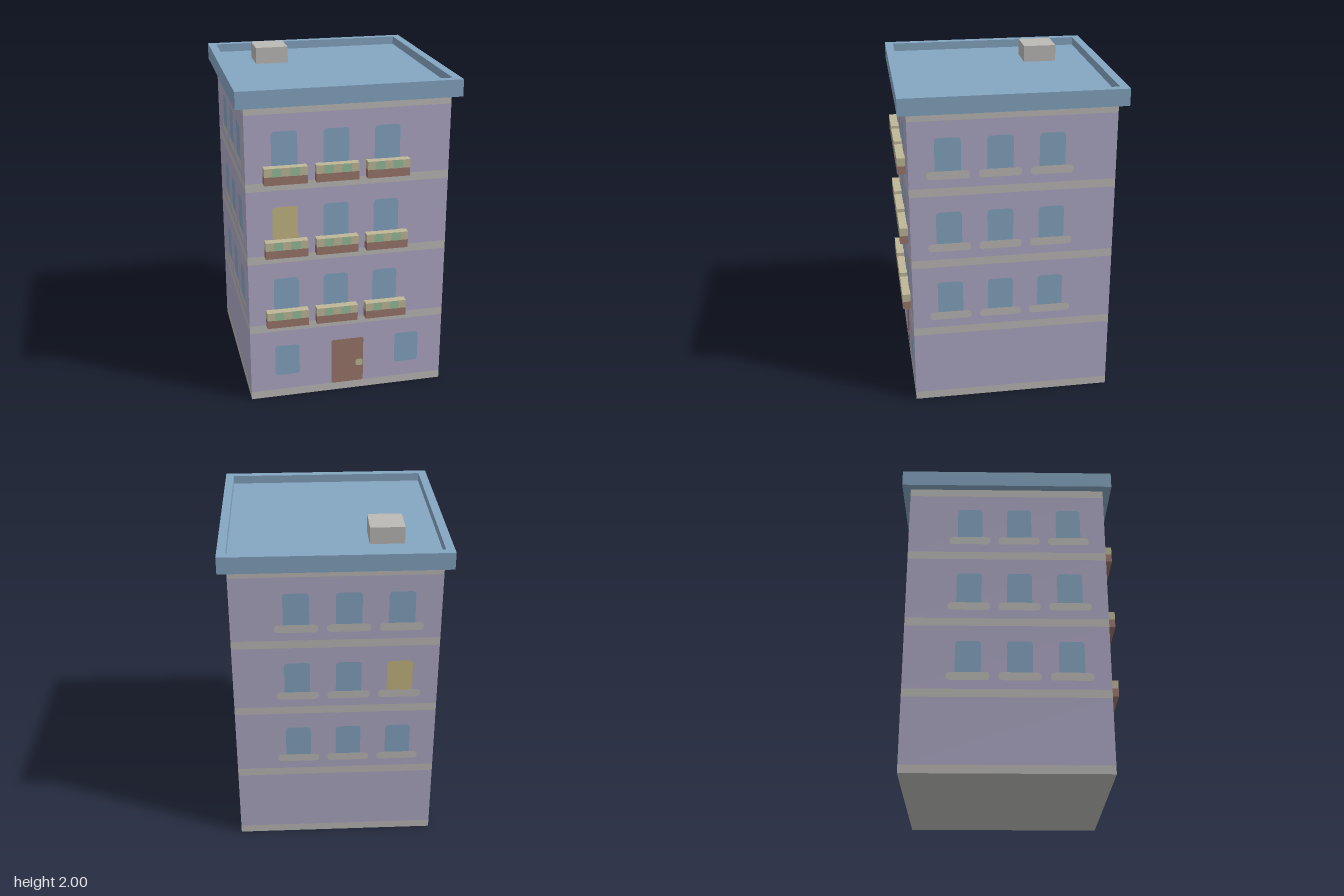
import * as THREE from 'three';

const paint = (name, color) => new THREE.MeshStandardMaterial({ name, color });

export function createModel() {
  const wallLilac = paint('wallLilac', 0xaea8c5);
  const concrete = paint('concrete', 0xbbbab7);
  const blue = paint('roofAndGlassBlue', 0x84a5c1);
  const litGlass = paint('litGlassYellow', 0xc3b682);
  const brown = paint('brown', 0x9a766a);
  const cream = paint('cream', 0xbeb797);
  const leafGreen = paint('leafGreen', 0x96bb9a);

  const model = new THREE.Group();
  model.name = 'apartmentBuilding';
  const HALF = 0.6;
  const SKIN = 0.002;

  function add(parent, name, geometry, material, x = 0, y = 0, z = 0) {
    const mesh = new THREE.Mesh(geometry, material);
    mesh.name = name;
    mesh.position.set(x, y, z);
    parent.add(mesh);
    return mesh;
  }
  const box = (parent, name, w, h, d, material, x, y, z) =>
    add(parent, name, new THREE.BoxGeometry(w, h, d), material, x, y, z);

  // Flat rounded rectangle facing +z, centred on its origin
  function plate(w, h, r) {
    const x = w / 2, y = h / 2;
    const s = new THREE.Shape();
    s.moveTo(-x + r, -y);
    s.lineTo(x - r, -y);
    s.quadraticCurveTo(x, -y, x, -y + r);
    s.lineTo(x, y - r);
    s.quadraticCurveTo(x, y, x - r, y);
    s.lineTo(-x + r, y);
    s.quadraticCurveTo(-x, y, -x, y - r);
    s.lineTo(-x, -y + r);
    s.quadraticCurveTo(-x, -y, -x + r, -y);
    return new THREE.ShapeGeometry(s, 5);
  }

  // Square ring of wall between two heights
  function wallRing(name, y0, y1, material) {
    const ring = new THREE.CylinderGeometry(HALF * Math.SQRT2, HALF * Math.SQRT2, y1 - y0, 4, 1, true);
    ring.rotateY(Math.PI / 4);
    const flat = ring.toNonIndexed();
    flat.computeVertexNormals();
    add(model, name, flat, material, 0, (y0 + y1) / 2, 0);
  }

  // Four storeys separated by concrete bands
  for (let i = 0; i < 5; i++) {
    const y = 0.45 * i;
    wallRing('floorBand', y, y + 0.05, concrete);
    if (i < 4) wallRing('storeyWall', y + 0.05, y + 0.45, wallLilac);
  }
  add(model, 'base', new THREE.PlaneGeometry(2 * HALF, 2 * HALF).rotateX(Math.PI / 2), concrete);

  // Facade groups: local +z points outward, local origin on the wall plane
  function facade(name, angle) {
    const group = new THREE.Group();
    group.name = name;
    group.rotation.y = angle;
    group.position.set(Math.sin(angle) * HALF, 0, Math.cos(angle) * HALF);
    model.add(group);
    return group;
  }
  const front = facade('frontFacade', 0);
  const right = facade('rightFacade', Math.PI / 2);
  const back = facade('backFacade', Math.PI);
  const left = facade('leftFacade', -Math.PI / 2);

  const windowShape = plate(0.15, 0.23, 0.025);
  const sillShape = plate(0.25, 0.05, 0.025);
  const leafShape = plate(0.055, 0.05, 0.012);

  // Window box: brown trough, cream upper half, painted leaves
  function planter(x, y) {
    const group = new THREE.Group();
    group.name = 'planter';
    group.position.set(x, y, 0.025);
    front.add(group);
    box(group, 'planterTrough', 0.25, 0.05, 0.05, brown, 0, 0.025, 0);
    box(group, 'planterRim', 0.25, 0.05, 0.05, cream, 0, 0.075, 0);
    for (const side of [-1, 1])
      add(group, 'leaves', leafShape, leafGreen, side * 0.052, 0.075, 0.025 + SKIN);
  }

  // Three rows of three windows on every side
  const walls = [
    { group: front, columns: [-0.375, -0.075, 0.225], lit: 0 },
    { group: back, columns: [0.375, 0.075, -0.225], lit: 0 },
    { group: right, columns: [-0.375, -0.075, 0.225], lit: -1 },
    { group: left, columns: [0.375, 0.075, -0.225], lit: -1 },
  ];
  for (const { group, columns, lit } of walls) {
    for (let row = 0; row < 3; row++) {
      const y = 0.5 + 0.45 * row;
      columns.forEach((x, column) => {
        const glass = row === 1 && column === lit ? litGlass : blue;
        add(group, 'window', windowShape, glass, x, y + 0.185, SKIN);
        if (group === front) planter(x, y);
        else add(group, 'windowSill', sillShape, concrete, x, y + 0.078, 2 * SKIN);
      });
    }
  }

  // Ground floor: two windows and the door
  for (const x of [-0.375, 0.375])
    add(front, 'groundWindow', plate(0.15, 0.2, 0.02), blue, x, 0.25, SKIN);
  add(front, 'door', plate(0.2, 0.3, 0.012), brown, 0, 0.2, SKIN);
  add(front, 'doorHandle', plate(0.046, 0.046, 0.018), cream, 0.075, 0.178, 2 * SKIN);

  // Roof parapet with a sunken deck
  const square = (path, h) => path.moveTo(-h, -h).lineTo(h, -h).lineTo(h, h).lineTo(-h, h).closePath();
  const rim = new THREE.Shape();
  square(rim, 0.65);
  const opening = new THREE.Path();
  square(opening, HALF);
  rim.holes.push(opening);
  const parapet = new THREE.ExtrudeGeometry(rim, { depth: 0.1, bevelEnabled: false });
  parapet.rotateX(-Math.PI / 2);
  add(model, 'roofParapet', parapet, blue, 0, 1.85, 0);
  add(model, 'roofDeck', new THREE.PlaneGeometry(1.2, 1.2).rotateX(-Math.PI / 2), blue, 0, 1.9, 0);

  // Roof vent block
  box(model, 'roofVent', 0.2, 0.1, 0.2, concrete, -0.3, 1.95, -0.3);

  return model;
}
